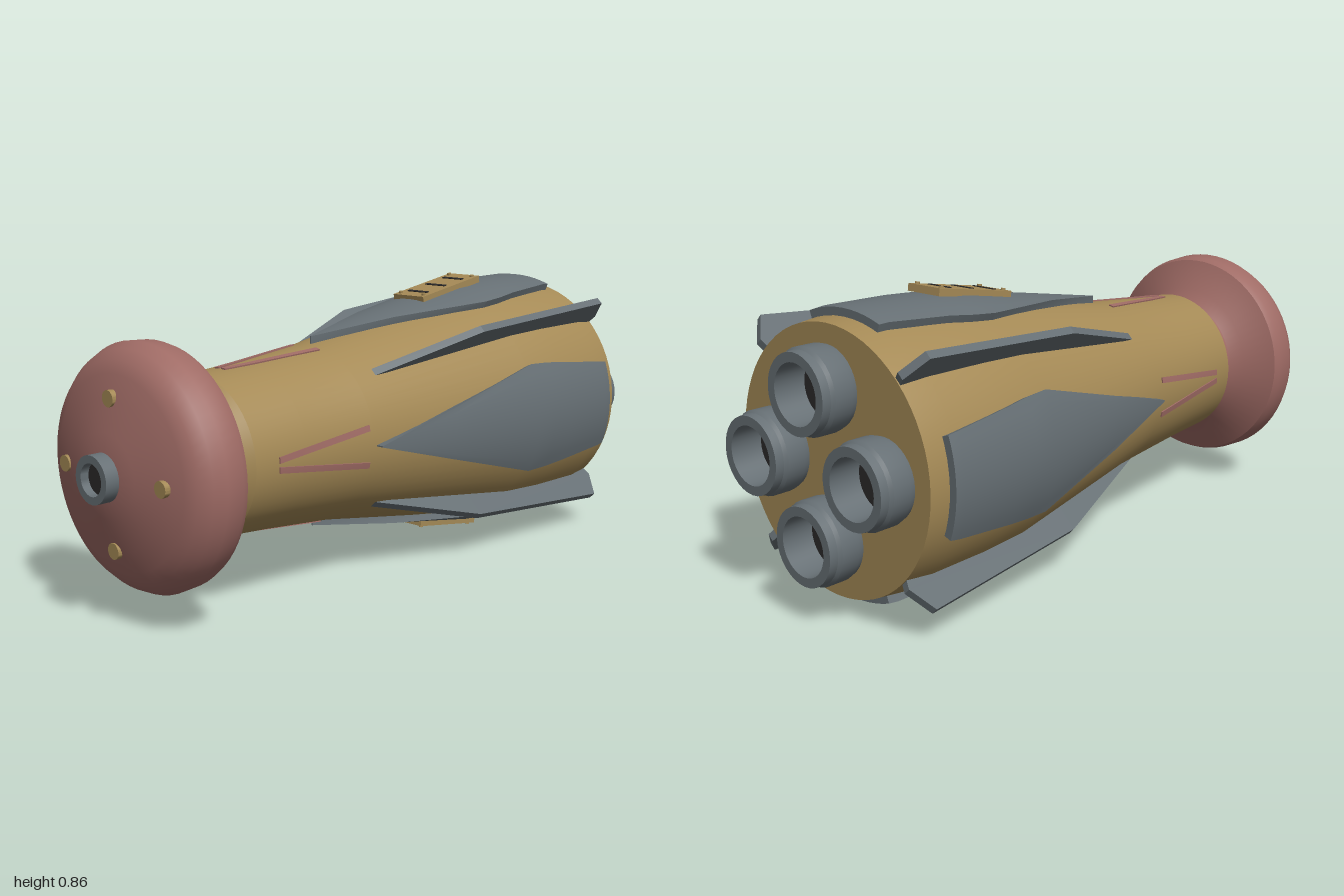
import * as THREE from 'three';
import { toCreasedNormals } from 'three/addons/utils/BufferGeometryUtils.js';

const mat = (name, color) => {
  const m = new THREE.MeshStandardMaterial({ color });
  m.name = name;
  return m;
};

// Body outline as [z, radius], back to front
const BODY = [[-0.89, 0.38], [-0.8, 0.39], [-0.6, 0.387], [-0.44, 0.377], [0.2, 0.27], [0.45, 0.247], [0.63, 0.234], [0.67, 0.205]];

function bodyRadius(z) {
  for (let i = 1; i < BODY.length; i++) {
    const [z0, r0] = BODY[i - 1], [z1, r1] = BODY[i];
    if (z <= z1) return r0 + (r1 - r0) * (z - z0) / (z1 - z0);
  }
  return BODY[BODY.length - 1][1];
}

// Turned part around the z axis from [z, radius] points, back to front
function turned(points, segments = 48, crease = 0.5) {
  const g = new THREE.LatheGeometry(points.map(([z, r]) => new THREE.Vector2(r, z)), segments);
  g.rotateX(Math.PI / 2);
  return toCreasedNormals(g, crease);
}

// Curved plate lying on the top of the body; rows are [z, xLeft, xRight], front to back
function bodyPlate(rows, thickness, steps = 10) {
  const pos = [], idx = [], ring = 2 * (steps + 1);
  for (const [z, x0, x1] of rows) {
    const r = bodyRadius(z), outer = r + thickness, inner = r - 0.015;
    const a0 = Math.asin(x0 / outer), a1 = Math.asin(x1 / outer);
    for (let k = 0; k < ring; k++) {
      const top = k <= steps;
      const a = a0 + (a1 - a0) * (top ? k : ring - 1 - k) / steps;
      const rad = top ? outer : inner;
      pos.push(Math.sin(a) * rad, Math.cos(a) * rad, z);
    }
  }
  for (let i = 0; i < rows.length - 1; i++) {
    for (let k = 0; k < ring; k++) {
      const a = i * ring + k, b = i * ring + (k + 1) % ring;
      idx.push(a, b, a + ring, b, b + ring, a + ring);
    }
  }
  const last = (rows.length - 1) * ring;
  for (let k = 0; k < steps; k++) {
    const m = ring - 1 - k;
    idx.push(k, m, k + 1, k + 1, m, m - 1);
    idx.push(last + k, last + k + 1, last + m, last + k + 1, last + m - 1, last + m);
  }
  const g = new THREE.BufferGeometry();
  g.setAttribute('position', new THREE.Float32BufferAttribute(pos, 3));
  g.setIndex(idx);
  return toCreasedNormals(g, 0.35);
}

export function createModel() {
  const tan = mat('tan', 0xa58a56);
  const pink = mat('dusty pink', 0x9f6b65);
  const grey = mat('steel grey', 0x677075);
  const dark = mat('dark', 0x2c2a2a);

  const model = new THREE.Group();
  model.name = 'rocketPod';
  const ship = new THREE.Group();
  ship.name = 'hull';
  ship.position.y = 0.42;
  model.add(ship);

  const add = (parent, name, geometry, material, x = 0, y = 0, z = 0) => {
    const m = new THREE.Mesh(geometry, material);
    m.name = name;
    m.position.set(x, y, z);
    parent.add(m);
    return m;
  };

  // Hull and nose
  add(ship, 'body', turned([[-0.89, 0], ...BODY, [0.67, 0]], 64), tan);
  add(ship, 'noseCap', turned([
    [0.65, 0], [0.65, 0.205], [0.675, 0.207], [0.71, 0.245], [0.755, 0.338], [0.775, 0.346],
    [0.83, 0.349], [0.865, 0.332], [0.895, 0.305], [0.91, 0.27], [0.927, 0.208], [0.95, 0.12], [0.96, 0.06], [0.96, 0],
  ], 64, 0.7), pink);
  add(ship, 'noseNozzle', turned([[0.94, 0.067], [1, 0.067], [1, 0.045], [0.97, 0.045]], 32), grey);
  add(ship, 'noseNozzleBore', new THREE.CircleGeometry(0.046, 32), dark, 0, 0, 0.975);

  // Parts repeated on the four sides
  const panelGeo = bodyPlate([
    [0.19, -0.002, 0.002], [-0.1, -0.082, 0.082], [-0.44, -0.175, 0.175], [-0.52, -0.172, 0.172],
    [-0.6, -0.164, 0.164], [-0.8, -0.144, 0.144], [-0.83, -0.14, 0.14],
  ], 0.023);
  const stripeGeos = [-1, 1].map((s) => bodyPlate([0, 0.25, 0.5, 0.75, 1].map((t) => {
    const x = s * (0.014 + 0.042 * t);
    return [0.55 - 0.335 * t, x - 0.009, x + 0.009];
  }), 0.004, 2));
  const buttonGeo = turned([[0.91, 0], [0.91, 0.023], [0.938, 0.023], [0.938, 0]], 20);
  const engineGeo = turned([
    [-0.9, 0.085], [-1, 0.085], [-1, 0.112], [-0.975, 0.114], [-0.965, 0.121], [-0.91, 0.121], [-0.88, 0.112],
  ].map(([z, r]) => [z, r]), 32);
  const boreGeo = new THREE.CircleGeometry(0.086, 32).rotateY(Math.PI);

  // Fin outline in (z, radius)
  const finShape = new THREE.Shape([
    [0.13, 0.285], [-0.26, 0.425], [-0.85, 0.482], [-0.895, 0.405], [-0.88, 0.36], [-0.26, 0.32],
  ].map(([z, r]) => new THREE.Vector2(z, r)));
  const finGeo = new THREE.ExtrudeGeometry(finShape, { depth: 0.024, bevelEnabled: false });
  finGeo.translate(0, 0, -0.012);
  finGeo.rotateY(-Math.PI / 2);

  for (let i = 0; i < 4; i++) {
    const side = new THREE.Group();
    side.name = 'side' + (i + 1);
    side.rotation.z = i * Math.PI / 2;
    ship.add(side);
    add(side, 'armourPanel', panelGeo, grey);
    stripeGeos.forEach((g) => add(side, 'stripe', g, pink));
    add(side, 'noseButton', buttonGeo, tan, 0, 0.208, 0);
    add(side, 'engine', engineGeo, grey, 0, 0.209, 0);
    add(side, 'engineBore', boreGeo, dark, 0, 0.209, -0.902);
    add(side, 'fin', finGeo, grey).rotation.z = Math.PI / 4;
  }

  // Louvred vents on the top and bottom panels
  for (const turn of [0, Math.PI]) {
    const side = new THREE.Group();
    side.name = turn ? 'bottomVent' : 'topVent';
    side.rotation.z = turn;
    ship.add(side);
    const vent = new THREE.Group();
    vent.name = 'vent';
    vent.position.set(0, 0.394, -0.4);
    vent.rotation.x = 0.165;
    side.add(vent);
    add(vent, 'ventPlate', new THREE.BoxGeometry(0.126, 0.022, 0.29), tan);
    for (const z of [-0.085, 0.005, 0.095]) {
      add(vent, 'ventSlot', new THREE.BoxGeometry(0.082, 0.006, 0.013), dark, 0, 0.0105, z);
    }
    for (const x of [-0.048, 0.048]) for (const z of [-0.125, 0.125]) {
      add(vent, 'rivet', new THREE.CylinderGeometry(0.007, 0.007, 0.008, 10), tan, x, 0.013, z);
    }
  }
  return model;
}
